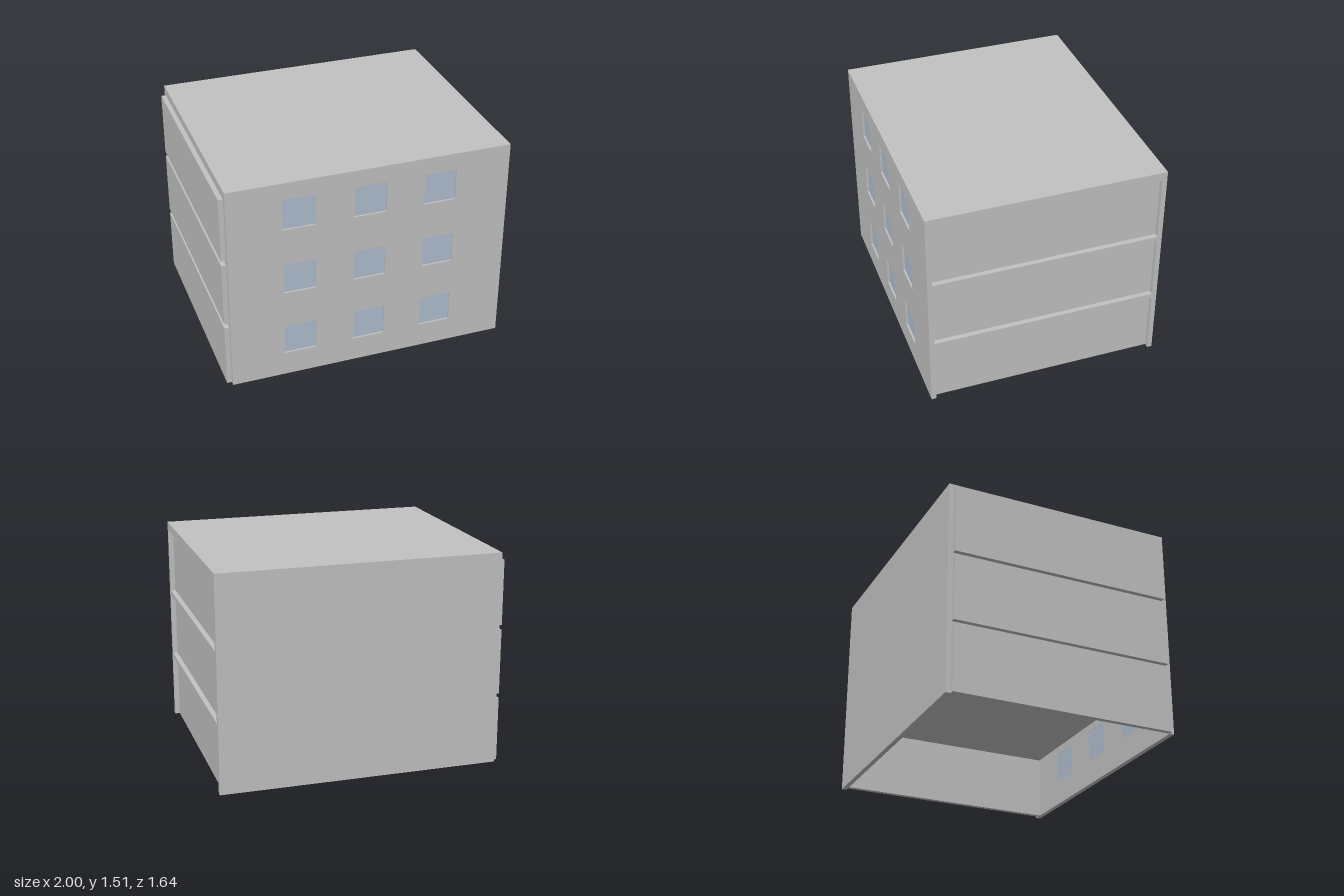
import * as THREE from 'three';

export function createModel() {
  const model = new THREE.Group();
  const concrete = new THREE.MeshStandardMaterial({ color: 0xc2c2c2 });
  concrete.name = 'concrete grey';
  const glass = new THREE.MeshStandardMaterial({ color: 0xb0bfcf });
  glass.name = 'pale blue glass';

  // Box given by its lower and upper corners
  function box(name, material, [x0, y0, z0], [x1, y1, z1]) {
    const mesh = new THREE.Mesh(new THREE.BoxGeometry(x1 - x0, y1 - y0, z1 - z0), material);
    mesh.position.set((x0 + x1) / 2, (y0 + y1) / 2, (z0 + z1) / 2);
    mesh.name = name;
    model.add(mesh);
  }

  const left = -0.967, right = 1, top = 1.508, depth = 0.82, inner = 0.786, wall = 0.034;
  const windowSize = 0.225;
  const columns = [-0.593, -0.1, 0.392];
  const rows = [0.178, 0.67, 1.162];

  // Front wall with nine window openings
  const face = new THREE.Shape([
    new THREE.Vector2(left, 0), new THREE.Vector2(right, 0),
    new THREE.Vector2(right, top), new THREE.Vector2(left, top),
  ]);
  for (const x of columns) {
    for (const y of rows) {
      face.holes.push(new THREE.Path([
        new THREE.Vector2(x, y), new THREE.Vector2(x, y + windowSize),
        new THREE.Vector2(x + windowSize, y + windowSize), new THREE.Vector2(x + windowSize, y),
      ]));
      // Pane set slightly back in its opening
      box('windowPane', glass, [x, y, inner + 0.001], [x + windowSize, y + windowSize, depth - 0.013]);
    }
  }
  const frontWall = new THREE.Mesh(
    new THREE.ExtrudeGeometry(face, { depth: wall, bevelEnabled: false }), concrete);
  frontWall.position.z = inner;
  frontWall.name = 'frontWall';
  model.add(frontWall);

  // Back wall and roof
  box('backWall', concrete, [left, 0, -depth], [right, top, -inner]);
  box('roof', concrete, [left, 1.447, -inner], [right, top, inner]);

  // Floor slabs between the storeys
  for (const y of [0.46, 0.955]) {
    box('floorSlab', concrete, [left, y, -inner], [right, y + wall, inner]);
  }

  // Side panels: proud on one side, recessed on the other
  for (const [y0, y1] of [[0, 0.46], [0.494, 0.955], [0.989, 1.447]]) {
    box('proudSidePanel', concrete, [-1, y0, -inner], [left + 0.001, y1, inner]);
    box('recessedSidePanel', concrete, [right - 2 * wall, y0, -inner], [right - wall, y1, inner]);
  }

  return model;
}
